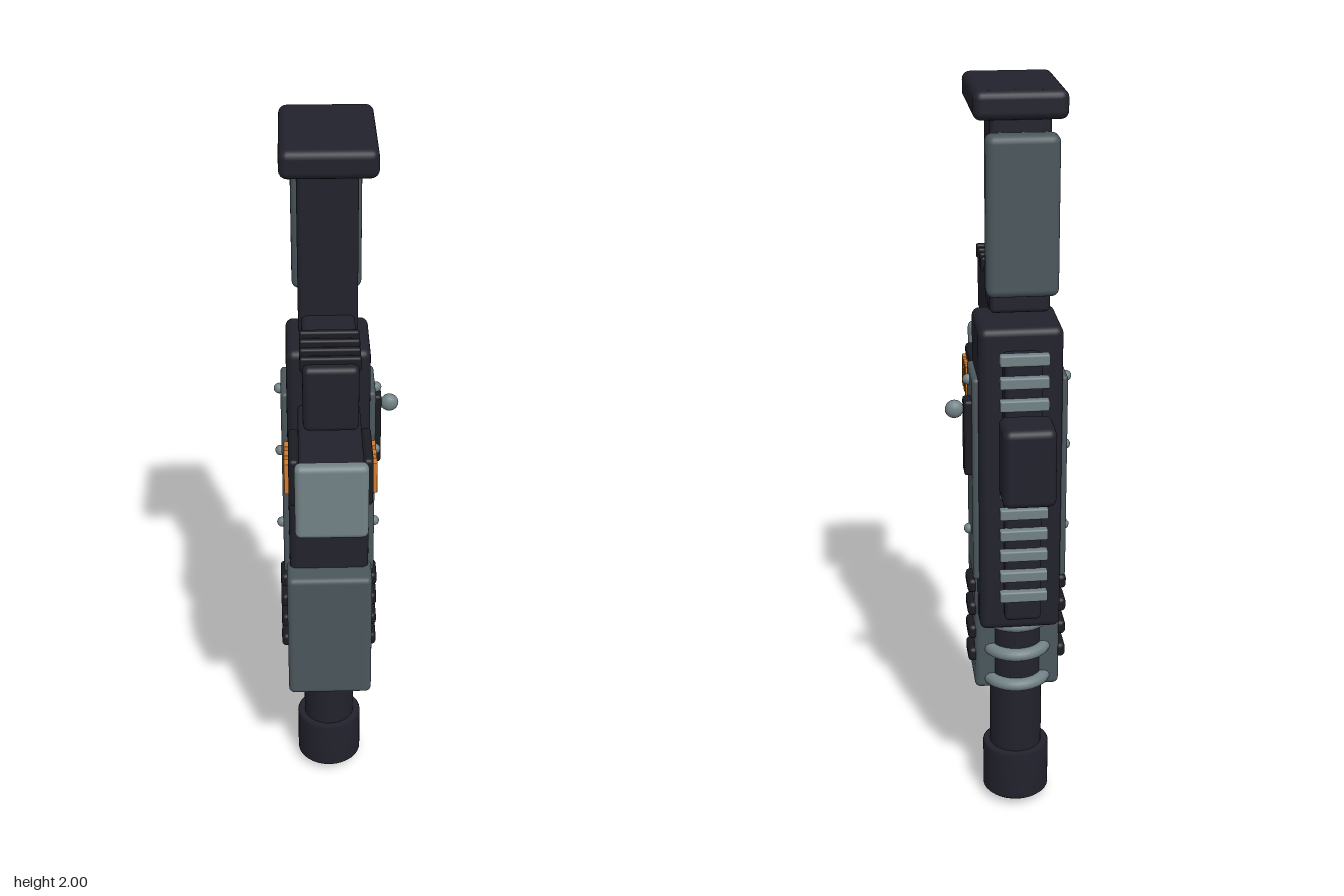
import * as THREE from 'three';
import { RoundedBoxGeometry } from 'three/addons/geometries/RoundedBoxGeometry.js';

const material = (name, color) => {
  const m = new THREE.MeshStandardMaterial({ color });
  m.name = name;
  return m;
};

export function createModel() {
  const dark = material('dark polymer', 0x22222d);
  const black = material('black trim', 0x1b1b23);
  const grey = material('slate grey', 0x4b575c);
  const steel = material('light steel', 0x728287);
  const orange = material('orange accent', 0xd57c2c);

  const model = new THREE.Group();
  model.name = 'toyBlaster';
  // Everything sits on an axis slightly off centre, as the knob juts out to the left
  const body = new THREE.Group();
  body.name = 'blaster';
  body.position.x = -0.025;
  model.add(body);

  const add = (name, geometry, mat, x, y, z) => {
    const mesh = new THREE.Mesh(geometry, mat);
    mesh.name = name;
    mesh.position.set(x, y, z);
    body.add(mesh);
    return mesh;
  };
  // Rounded box from its x centre, width, and y and z ranges
  const box = (name, mat, x, w, y0, y1, z0, z1, r = 0.015) =>
    add(name, new RoundedBoxGeometry(w, y1 - y0, z1 - z0, 3, Math.min(r, w * 0.45, (y1 - y0) * 0.45, (z1 - z0) * 0.45)),
      mat, x, (y0 + y1) / 2, (z0 + z1) / 2);

  // Stock
  box('buttPlate', dark, 0, 0.23, 1.93, 2.0, -0.153, 0.18, 0.02);
  box('stockPost', dark, 0, 0.15, 1.455, 1.95, -0.14, 0.01, 0.012);
  box('cheekRest', grey, 0, 0.18, 1.51, 1.905, -0.2, -0.137, 0.02);

  // Grip with ridges
  box('grip', dark, 0, 0.135, 1.34, 1.512, 0.0, 0.293, 0.015);
  for (let i = 0; i < 4; i++) {
    const z = 0.125 + i * 0.045;
    box('gripRidge', black, 0, 0.147, 1.49, 1.528, z - 0.009, z + 0.009, 0.006);
  }

  // Receiver
  box('receiver', dark, 0, 0.215, 0.58, 1.423, -0.168, 0.04, 0.02);

  // Magazine, base plate
  box('magazine', dark, 0, 0.16, 1.085, 1.272, 0.0, 0.335, 0.012);
  box('magazineBase', steel, 0, 0.181, 1.075, 1.283, 0.325, 0.363, 0.016);

  // Handguard
  box('handguard', grey, 0, 0.232, 0.362, 0.76, -0.1, 0.1, 0.016);

  // Details mirrored on both sides
  for (const s of [-1, 1]) {
    box('sidePanel', grey, s * 0.108, 0.03, 0.722, 1.287, -0.147, 0.008, 0.01);
    for (const y of [1.262, 1.072, 0.84])
      add('rivet', new THREE.SphereGeometry(0.014, 12, 8), steel, s * 0.127, y, -0.07);
    box('magazineWindow', black, s * 0.092, 0.026, 1.113, 1.247, 0.108, 0.272, 0.01);
    for (const z of [0.147, 0.19, 0.233])
      box('ammoStripe', orange, s * 0.109, 0.014, 1.135, 1.222, z - 0.013, z + 0.013, 0.002);
    for (let i = 0; i < 4; i++) {
      const y = 0.464 + i * 0.0705;
      box('handguardVent', black, s * 0.12, 0.028, y - 0.02, y + 0.02, -0.095, -0.013, 0.012);
    }
  }

  // Charging handle on the left
  box('handleSlot', black, 0.13, 0.026, 1.02, 1.225, -0.137, -0.083, 0.008);
  add('handleKnob', new THREE.SphereGeometry(0.024, 16, 12), steel, 0.165, 1.195, -0.105).scale.z = 0.8;

  // Top rail with teeth and sight
  box('rail', dark, 0, 0.095, 0.638, 1.367, -0.228, -0.16, 0.012);
  for (let i = 0; i < 12; i++) {
    const y = 0.717 + i * 0.059;
    box('railTooth', steel, 0, 0.124, y - 0.015, y + 0.015, -0.247, -0.222, 0.005);
  }
  box('sight', dark, 0, 0.134, 1.02, 1.227, -0.363, -0.243, 0.02);

  // Barrel, cooling rings and muzzle
  const bz = -0.062;
  add('barrel', new THREE.CylinderGeometry(0.072, 0.072, 0.52, 32), dark, 0, 0.39, bz);
  for (const y of [0.575, 0.485, 0.392])
    add('coolingRing', new THREE.TorusGeometry(0.08, 0.018, 10, 32), steel, 0, y, bz).rotation.x = Math.PI / 2;
  const rim = [[0, 0.022], [0.086, 0.022], [0.092, 0.028], [0.092, 0.166], [0.086, 0.172], [0, 0.172]];
  const muzzle = new THREE.LatheGeometry(rim.map(([r, y]) => new THREE.Vector2(r, y)), 32);
  add('muzzle', muzzle, dark, 0, 0, bz);
  add('muzzleCollar', new THREE.CylinderGeometry(0.055, 0.055, 0.02, 24), black, 0, 0.02, bz);
  add('muzzleTip', new THREE.CylinderGeometry(0.03, 0.03, 0.03, 16), orange, 0, 0.015, bz);

  return model;
}
